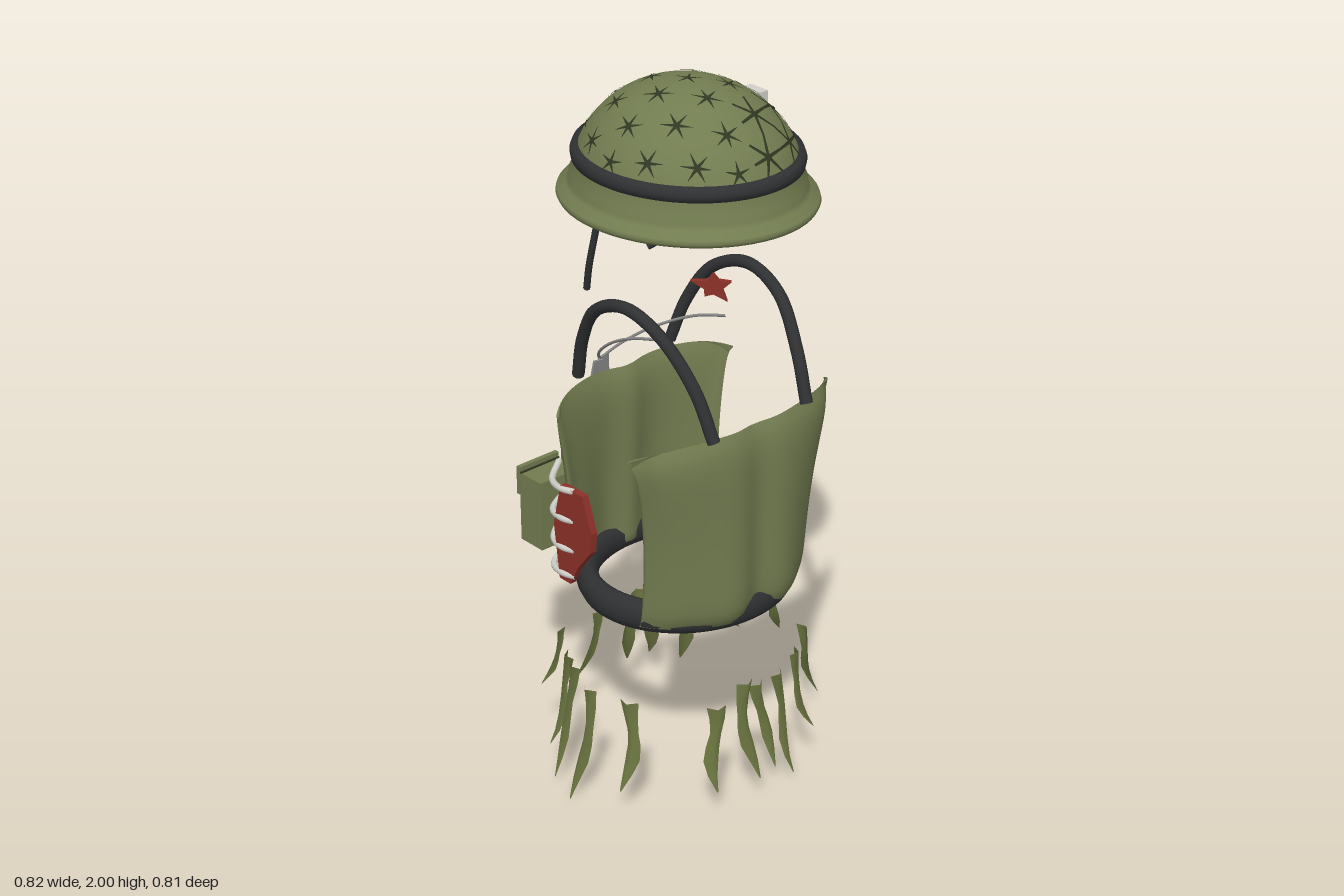
import * as THREE from 'three';
import { mergeVertices } from 'three/addons/utils/BufferGeometryUtils.js';

const V = (x, y, z) => new THREE.Vector3(x, y, z);

export function createModel() {
  const root = new THREE.Group();
  const mat = (name, color, side = THREE.FrontSide) => {
    const m = new THREE.MeshStandardMaterial({ color, side });
    m.name = name;
    return m;
  };
  const olive = mat('olive', 0x727c50, THREE.DoubleSide);
  const cloth = mat('cloth', 0x69733f, THREE.DoubleSide);
  const black = mat('black', 0x303133, THREE.DoubleSide);
  const netDark = mat('netDark', 0x2f3622, THREE.DoubleSide);
  const red = mat('red', 0x8c3128, THREE.DoubleSide);
  const white = mat('white', 0xd2d0ca);
  const grey = mat('grey', 0x8b8b8b);

  const add = (name, geo, material, parent = root) => {
    const m = new THREE.Mesh(geo, material);
    m.name = name;
    parent.add(m);
    return m;
  };
  const box = (name, size, pos, material, parent = root) => {
    const m = add(name, new THREE.BoxGeometry(...size), material, parent);
    m.position.set(...pos);
    return m;
  };
  const tube = (name, pts, r, material, parent = root, seg = 40) =>
    add(name, new THREE.TubeGeometry(new THREE.CatmullRomCurve3(pts.map(p => V(...p))), seg, r, 10), material, parent);

  // Helmet: an oval lathe with a flared brim, a band and an open inside
  const helmet = new THREE.Group();
  helmet.name = 'helmet';
  root.add(helmet);
  const RX = 0.287, RY = 0.28, RZ = 0.316, CX = 0.01, CY = 1.72, CZ = 0.045;
  const lathe = (name, pts, material) => {
    const g = new THREE.LatheGeometry(pts.map(p => new THREE.Vector2(...p)), 64);
    g.scale(RX, 1, RZ).translate(CX, 0, CZ);
    return add(name, g, material, helmet);
  };
  const dome = [];
  for (let i = 0; i <= 16; i++) {
    const a = 0.25 + (Math.PI / 2 - 0.25) * i / 16;
    dome.push([Math.max(Math.cos(a), 0), CY + RY * Math.sin(a)]);
  }
  lathe('helmetDome', dome, olive);
  lathe('helmetRim', [[1.0, 1.70], [1.11, 1.686], [1.125, 1.695], [1.115, 1.705], [1.04, 1.72], [1.015, 1.732],
    [1.01, 1.75], [0.985, 1.76], [0.97, 1.79]], olive);
  lathe('helmetBand', [[0.95, 1.787], [0.99, 1.789], [1.0, 1.806], [0.98, 1.823], [0.92, 1.825]], black);

  // Net: tapered arms around each knot, joined into full cords on one side
  const ico = new THREE.IcosahedronGeometry(1, 2);
  ico.rotateX(-Math.atan((1 + Math.sqrt(5)) / 2)).rotateY(-Math.PI / 2);
  const ip = ico.attributes.position, cords = [];
  const surf = v => {
    const n = v.clone().normalize().multiplyScalar(1.009);
    return [n.x * RX + CX, n.y * RY + CY, n.z * RZ + CZ];
  };
  for (let i = 0; i < ip.count; i++) {
    const a = new THREE.Vector3().fromBufferAttribute(ip, i);
    const b = new THREE.Vector3().fromBufferAttribute(ip, i % 3 === 2 ? i - 2 : i + 1);
    const full = a.x + a.z * 0.6 > 0.45;
    const tip = a.clone().lerp(b, full ? 0.5 : 0.33);
    if (a.y < 0.3 || tip.y < 0.3) continue;
    const side = a.clone().cross(b).normalize();
    const w0 = 0.017, w1 = full ? 0.011 : 0.002;
    const q = [[a, w0], [a, -w0], [tip, w1], [tip, -w1]].map(([p, w]) => surf(p.clone().addScaledVector(side, w)));
    cords.push(...q[1], ...q[0], ...q[2], ...q[1], ...q[2], ...q[3]);
  }
  const netGeo = new THREE.BufferGeometry();
  netGeo.setAttribute('position', new THREE.Float32BufferAttribute(cords, 3));
  netGeo.computeVertexNormals();
  add('helmetNet', netGeo, netDark, helmet);

  // Small packet tucked in the band
  box('packet', [0.028, 0.1, 0.065], [0.288, 1.842, 0], white, helmet);
  box('packetPanel', [0.006, 0.052, 0.03], [0.302, 1.842, -0.002], red, helmet);

  // Chin straps
  tube('chinStrapRight', [[-0.265, 1.71, 0.02], [-0.27, 1.62, 0.0], [-0.268, 1.55, -0.02], [-0.26, 1.48, -0.04]], 0.009, black, helmet);
  tube('chinStrapLeft', [[0.272, 1.71, 0.02], [0.27, 1.62, -0.04], [0.245, 1.555, -0.09], [0.17, 1.5, -0.13], [0.06, 1.46, -0.165]], 0.009, black, helmet);

  // Vest plates: a box bent around the body, with softened edges
  const plate = (o) => {
    const g = new THREE.BoxGeometry(1, 1, 1, 36, 24, 4);
    g.deleteAttribute('uv');
    g.deleteAttribute('normal');
    const p = g.attributes.position;
    for (let i = 0; i < p.count; i++) {
      const u = p.getX(i) * 2, t = p.getY(i) + 0.5, w = p.getZ(i) + 0.5, au = Math.abs(u);
      const half = o.low + (o.high - o.low) * t ** 2.5;
      const th = 0.055 * (0.35 + 0.65 * (1 - au ** 8)) * (1 - 0.5 * t ** 12);
      const round = 0.025 * (t ** 14 + (1 - t) ** 20) * w;
      const fold = 0.014 * Math.exp(-((u / 0.16) ** 2)) + 0.006 * Math.cos(u * 9) * (1 - t);
      const wrap = o.wrap[0] + (o.wrap[1] - o.wrap[0]) * t - th;
      p.setXYZ(i, half * u * (1 - 0.015 * (2 * w - 1) ** 2),
        o.y0 + (o.y1 - o.y0) * t - 0.025 * au ** 6 * t ** 4 - 0.008 * t ** 6 * Math.exp(-((u / 0.3) ** 2)),
        o.z + o.lean * t - wrap * au ** 2.6 - th * (1 - w) - round - fold);
    }
    const m = mergeVertices(g);
    m.computeVertexNormals();
    return m;
  };
  add('frontPlate', plate({ low: 0.282, high: 0.357, y0: 0.565, y1: 1.13, z: 0.338, lean: -0.005, wrap: [0.18, 0.12] }), olive).position.x = 0.015;
  const back = add('backPlate', plate({ low: 0.262, high: 0.315, y0: 0.575, y1: 1.125, z: 0.258, lean: -0.025, wrap: [0.155, 0.11] }).rotateY(Math.PI), olive);
  back.position.x = 0.01;

  // Shoulder straps
  for (const s of [-1, 1]) {
    tube(s > 0 ? 'shoulderStrapLeft' : 'shoulderStrapRight', [[0.165, 1.14, 0.325], [0.18, 1.27, 0.27], [0.205, 1.39, 0.175],
      [0.213, 1.435, 0.05], [0.205, 1.385, -0.08], [0.185, 1.27, -0.16], [0.165, 1.14, -0.205]]
      .map(([x, y, z]) => [0.01 + s * x, y, z]), 0.017, black);
  }

  // Padded waist belt, open on the left
  const belt = new THREE.Group();
  belt.name = 'belt';
  belt.position.y = 0.587;
  belt.scale.y = 1.5;
  root.add(belt);
  const beltPts = [];
  for (let i = 0; i <= 32; i++) {
    const a = 0.2 + (Math.PI * 2 - 0.72) * i / 32;
    beltPts.push([0.015 + 0.283 * Math.cos(a), 0, 0.04 + 0.258 * Math.sin(a)]);
  }
  tube('beltPad', beltPts, 0.031, black, belt, 80);
  for (const p of [beltPts[0], beltPts[32]]) {
    add('beltEnd', new THREE.SphereGeometry(0.031, 14, 10), black, belt).position.set(...p);
  }

  // Torn side with ribs
  const wound = new THREE.Shape([[0.005, 0.79], [-0.03, 0.89], [-0.12, 0.89], [-0.15, 0.76], [-0.13, 0.6], [-0.085, 0.6],
    [-0.055, 0.66], [0.0, 0.73]].map(p => new THREE.Vector2(...p)));
  const woundGeo = new THREE.ExtrudeGeometry(wound, { depth: 0.02, bevelEnabled: false }).rotateY(-Math.PI / 2);
  add('wound', woundGeo, red).position.x = -0.276;
  [0.88, 0.79, 0.7, 0.62].forEach((y, i) => {
    const e = i % 2 ? -0.16 : -0.2;
    tube('rib', [[-0.288, y + 0.005, -0.07], [-0.295, y, -0.12], [-0.265, y - 0.01, -0.19], [e, y, -0.24]], 0.009, white);
  });

  // Back pouches with flap and buckle
  [[-0.15, -0.3], [0.01, -0.3], [0.172, -0.286]].forEach(([x, z]) => {
    const pouch = new THREE.Group();
    pouch.name = 'pouch';
    pouch.position.set(x, 0.58, z);
    root.add(pouch);
    box('pouchBody', [0.134, 0.21, 0.09], [0, 0.105, -0.045], olive, pouch);
    box('pouchFlap', [0.14, 0.085, 0.014], [0, 0.185, -0.093], olive, pouch);
    box('flapSeam', [0.138, 0.004, 0.006], [0, 0.212, -0.084], netDark, pouch);
    box('buckle', [0.03, 0.022, 0.008], [0, 0.165, -0.102], black, pouch);
  });

  // Neck chain and tags hanging behind
  tube('neckChain', [[-0.1, 1.32, 0.07], [-0.092, 1.28, -0.05], [-0.06, 1.21, -0.18], [-0.025, 1.14, -0.27], [0.01, 1.1, -0.305],
    [0.045, 1.14, -0.27], [0.08, 1.21, -0.18], [0.115, 1.28, -0.05], [0.125, 1.32, 0.07]], 0.004, grey, root, 60);
  for (const s of [-1, 1]) {
    const tag = box('tag', [0.034, 0.065, 0.006], [0.01 + s * 0.018, 1.066, -0.308 - s * 0.006], grey);
    tag.rotation.set(0.12, 0, s * 0.12);
  }

  // Loose ragged scrap
  const scrap = new THREE.Shape();
  for (let i = 0; i < 10; i++) {
    const a = i * Math.PI / 5 + 0.3, r = i % 2 ? 0.026 : 0.052 + 0.012 * Math.cos(i * 2);
    scrap[i ? 'lineTo' : 'moveTo'](r * Math.cos(a), r * 0.85 * Math.sin(a));
  }
  const scrapMesh = add('raggedScrap', new THREE.ExtrudeGeometry(scrap, { depth: 0.015, bevelEnabled: false }), red);
  scrapMesh.position.set(0.125, 1.385, 0.02);
  scrapMesh.rotation.y = Math.PI * 0.75;

  // Ring of torn cloth strips: x, z, top, bottom
  const strips = [[-0.35, 0.03, 0.34, 0.0], [-0.34, -0.05, 0.38, 0.03], [-0.31, -0.1, 0.37, 0.1], [-0.31, 0.17, 0.34, 0.09],
    [-0.25, -0.2, 0.38, 0.2], [0.36, 0.02, 0.38, 0.21], [0.37, 0.15, 0.3, 0.06], [0.31, -0.1, 0.32, 0.18], [-0.15, 0.33, 0.33, 0.1],
    [-0.03, 0.33, 0.36, 0.08], [0.03, 0.33, 0.34, 0.09], [0.1, 0.33, 0.34, 0.04], [0.18, 0.31, 0.36, 0.13], [-0.09, -0.24, 0.35, 0.13],
    [0.07, -0.25, 0.36, 0.1], [0.13, -0.24, 0.34, 0.1], [0.22, -0.2, 0.34, 0.06]];
  const widths = [0.027, 0.021, 0.016, 0.019, 0.021, 0.013, 0.002];
  strips.forEach(([x, z, top, bottom], k) => {
    const g = new THREE.PlaneGeometry(2, 1, 2, 6), p = g.attributes.position;
    for (let i = 0; i < p.count; i++) {
      const t = 0.5 - p.getY(i), u = p.getX(i), w = widths[Math.round(t * 6)];
      p.setXYZ(i, u * w + 0.012 * Math.sin(t * 5 + k * 1.7), top + (bottom - top) * t, 0.05 * t * t - Math.abs(u) * w * 0.7);
    }
    g.computeVertexNormals();
    const m = add('clothStrip', g, cloth);
    m.position.set(x, 0, z);
    m.rotation.y = Math.atan2(x, z - 0.04);
  });

  return root;
}
